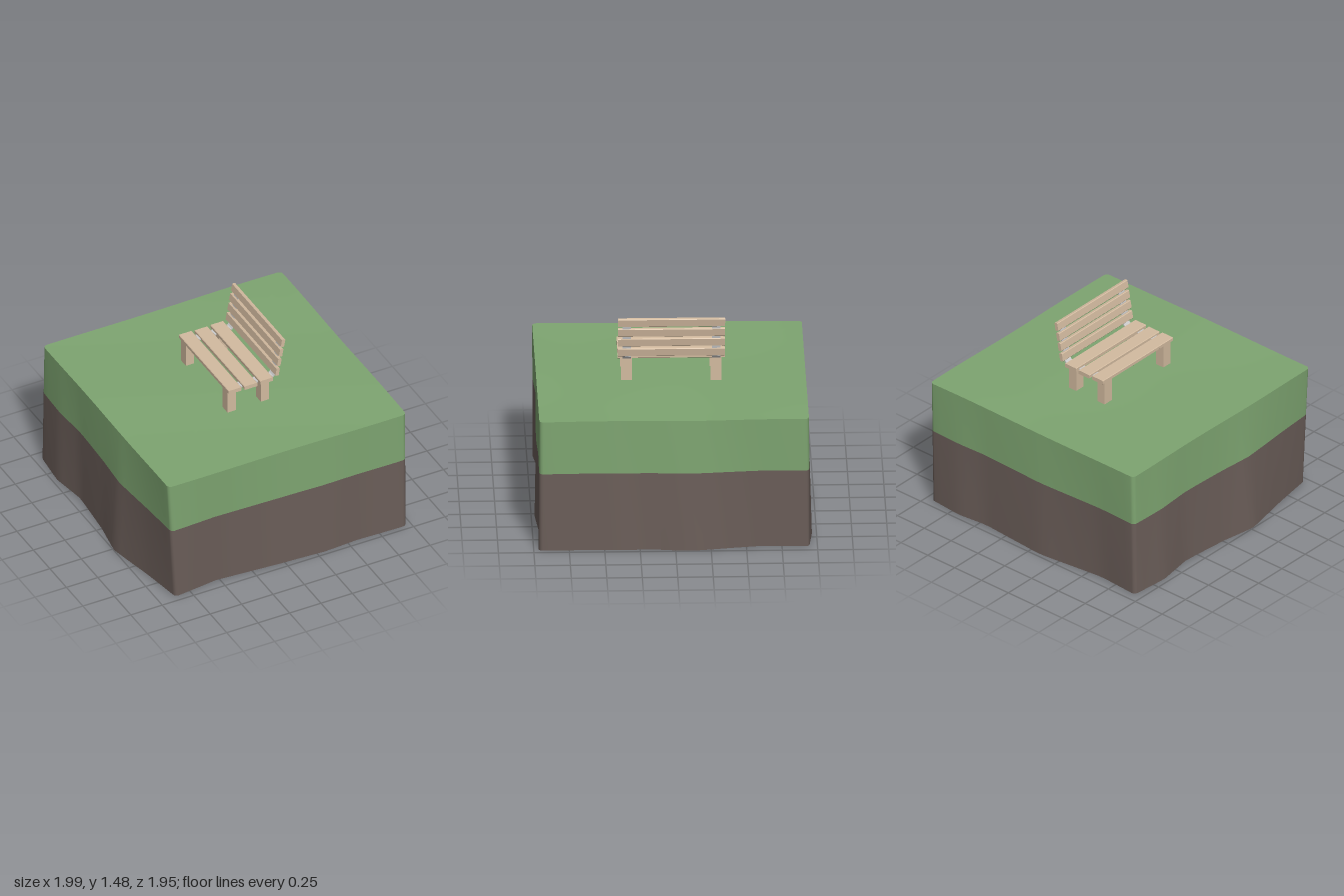
import * as THREE from 'three';

const GREEN = 0x7ea571, BROWN = 0x6b5e59, WOOD = 0xd3bba0;
const X0 = -0.93, X1 = 0.965, Z0 = -0.94, Z1 = 0.96, R = 0.03;
const TOP = 0.976, SEAM = 0.583;

// Each wall: start corner, end corner, outward normal, and [position along wall, bulge at the foot]
const walls = [
  { a: [X0, Z1], b: [X1, Z1], n: [0, 1], keys: [[0, 0], [0.18, -0.04], [0.45, 0], [0.65, 0.017], [0.8, -0.005], [1, 0.005]] },
  { a: [X1, Z1], b: [X1, Z0], n: [1, 0], keys: [[0, 0], [0.3, 0.015], [0.42, 0], [0.56, 0.033], [0.69, 0], [0.83, -0.03], [1, -0.02]] },
  { a: [X1, Z0], b: [X0, Z0], n: [0, -1], keys: [[0, 0.005], [0.13, 0.03], [0.26, 0.005], [0.55, 0.038], [0.73, 0], [0.84, -0.02], [1, 0]] },
  { a: [X0, Z0], b: [X0, Z1], n: [-1, 0], keys: [[0, 0.015], [0.14, 0.04], [0.29, 0], [0.5, 0.03], [0.64, 0.07], [0.83, 0], [1, -0.05]] },
];

function bulge(keys, t) {
  let i = 0;
  while (i < keys.length - 2 && t > keys[i + 1][0]) i++;
  const [t0, d0] = keys[i], [t1, d1] = keys[i + 1];
  return THREE.MathUtils.lerp(d0, d1, THREE.MathUtils.clamp((t - t0) / (t1 - t0), 0, 1));
}

// Rounded-square outline; every point carries its drift (dx, dz) at the foot of the block
function makeOutline() {
  const pts = [], N = 28;
  const corners = walls.map((w, i) => {
    const prev = walls[(i + 3) % 4], d = bulge(w.keys, 0), e = bulge(prev.keys, 1);
    return [w.n[0] * d + prev.n[0] * e, w.n[1] * d + prev.n[1] * e];
  });
  walls.forEach((w, i) => {
    const next = walls[(i + 1) % 4], c0 = corners[i], c1 = corners[(i + 1) % 4];
    const len = Math.hypot(w.b[0] - w.a[0], w.b[1] - w.a[1]);
    for (let k = 0; k <= N; k++) {
      const t = k / N, s = (R + t * (len - 2 * R)) / len, d = bulge(w.keys, t);
      const drift = [0, 1].map((m) => (w.n[m] !== 0 ? w.n[m] * d : THREE.MathUtils.lerp(c0[m], c1[m], t)));
      pts.push({
        x: THREE.MathUtils.lerp(w.a[0], w.b[0], s), z: THREE.MathUtils.lerp(w.a[1], w.b[1], s),
        dx: drift[0], dz: drift[1],
      });
    }
    for (const q of [1, 2]) {
      const c = Math.cos(q * Math.PI / 6), s = Math.sin(q * Math.PI / 6);
      pts.push({
        x: w.b[0] + R * (w.n[0] * (c - 1) + next.n[0] * (s - 1)),
        z: w.b[1] + R * (w.n[1] * (c - 1) + next.n[1] * (s - 1)),
        dx: c1[0], dz: c1[1],
      });
    }
  });
  return pts;
}

// Surface through a list of closed rings
function loft(rings) {
  const n = rings[0].length, index = [];
  for (let i = 0; i < rings.length - 1; i++) {
    for (let j = 0; j < n; j++) {
      const k = (j + 1) % n, a = i * n, b = a + n;
      index.push(a + j, b + j, b + k, a + j, b + k, a + k);
    }
  }
  const g = new THREE.BufferGeometry();
  g.setAttribute('position', new THREE.Float32BufferAttribute(rings.flat(2), 3));
  g.setIndex(index);
  g.computeVertexNormals();
  return g;
}

const wave = (x, z) => 0.003 * Math.sin(4.1 * x + 1.3 * z) + 0.003 * Math.sin(5.3 * z - 2.2 * x + 1);

function add(parent, name, geometry, color, side = THREE.FrontSide) {
  const mesh = new THREE.Mesh(geometry, new THREE.MeshStandardMaterial({ color, side }));
  mesh.name = name;
  parent.add(mesh);
  return mesh;
}

function makeGround() {
  const ground = new THREE.Group();
  ground.name = 'ground';
  const outline = makeOutline();
  const cx = (X0 + X1) / 2, cz = (Z0 + Z1) / 2;
  const band = (level) => outline.map((p) => {
    const y = TOP + (0.006 - TOP) * level, f = level;
    return [p.x + p.dx * f, y + wave(p.x, p.z), p.z + p.dz * f];
  });
  const seam = (TOP - SEAM) / (TOP - 0.006);

  // Gently rolling lawn
  const lawn = [];
  for (let i = 0; i <= 10; i++) {
    const s = Math.max(i / 10, 0.001);
    lawn.push(outline.map((p) => {
      const x = cx + (p.x - cx) * s, z = cz + (p.z - cz) * s;
      return [x, TOP + wave(x, z), z];
    }));
  }
  add(ground, 'lawn', loft(lawn), GREEN, THREE.DoubleSide);

  // Hollow walls, open underneath
  add(ground, 'grassWall', loft([band(0), band(seam / 2), band(seam)]), GREEN, THREE.DoubleSide);
  add(ground, 'soilWall', loft([band(seam), band((1 + seam) / 2), band(1)]), BROWN, THREE.DoubleSide);
  return ground;
}

// Wooden plank with slightly rounded long edges, running along z
function plank(width, height, length) {
  const b = 0.004, w = width / 2, h = height / 2;
  const s = new THREE.Shape([
    [-w + b, -h], [w - b, -h], [w, -h + b], [w, h - b],
    [w - b, h], [-w + b, h], [-w, h - b], [-w, -h + b],
  ].map(([x, y]) => new THREE.Vector2(x, y)));
  return new THREE.ExtrudeGeometry(s, { depth: length, bevelEnabled: false }).translate(0, 0, -length / 2);
}

function makeBench() {
  const bench = new THREE.Group();
  bench.name = 'bench';
  bench.position.z = 0.01;

  // Seat planks
  [[-0.098, 1.166], [0.028, 1.162], [0.153, 1.166]].forEach(([x, y]) => {
    add(bench, 'seatPlank', plank(0.103, 0.03, 0.755), WOOD).position.set(x, y, 0);
  });

  // Leaning backrest slats
  [[0.24, 1.215], [0.254, 1.295], [0.268, 1.373], [0.283, 1.452]].forEach(([x, y]) => {
    const slat = add(bench, 'backSlat', plank(0.027, 0.062, 0.755), WOOD);
    slat.position.set(x, y, 0);
    slat.rotation.z = -0.18;
  });

  // Metal strap under the seat, bent up behind the slats
  const strap = [[-0.13, 1.157], [0.205, 1.157], [0.224, 1.163], [0.237, 1.18], [0.288, 1.462]];
  for (const z of [-0.315, 0.315]) {
    for (const x of [-0.113, 0.152]) {
      add(bench, 'leg', new THREE.BoxGeometry(0.066, 0.2, 0.076), WOOD).position.set(x, 1.055, z);
    }
    for (let i = 0; i < strap.length - 1; i++) {
      const [x0, y0] = strap[i], [x1, y1] = strap[i + 1];
      const piece = add(bench, 'strap', new THREE.BoxGeometry(Math.hypot(x1 - x0, y1 - y0) + 0.004, 0.01, 0.06), 0xcccccc);
      piece.position.set((x0 + x1) / 2, (y0 + y1) / 2, z);
      piece.rotation.z = Math.atan2(y1 - y0, x1 - x0);
    }
  }
  return bench;
}

export function createModel() {
  const model = new THREE.Group();
  model.name = 'benchOnGrassBlock';
  model.add(makeGround(), makeBench());
  return model;
}
